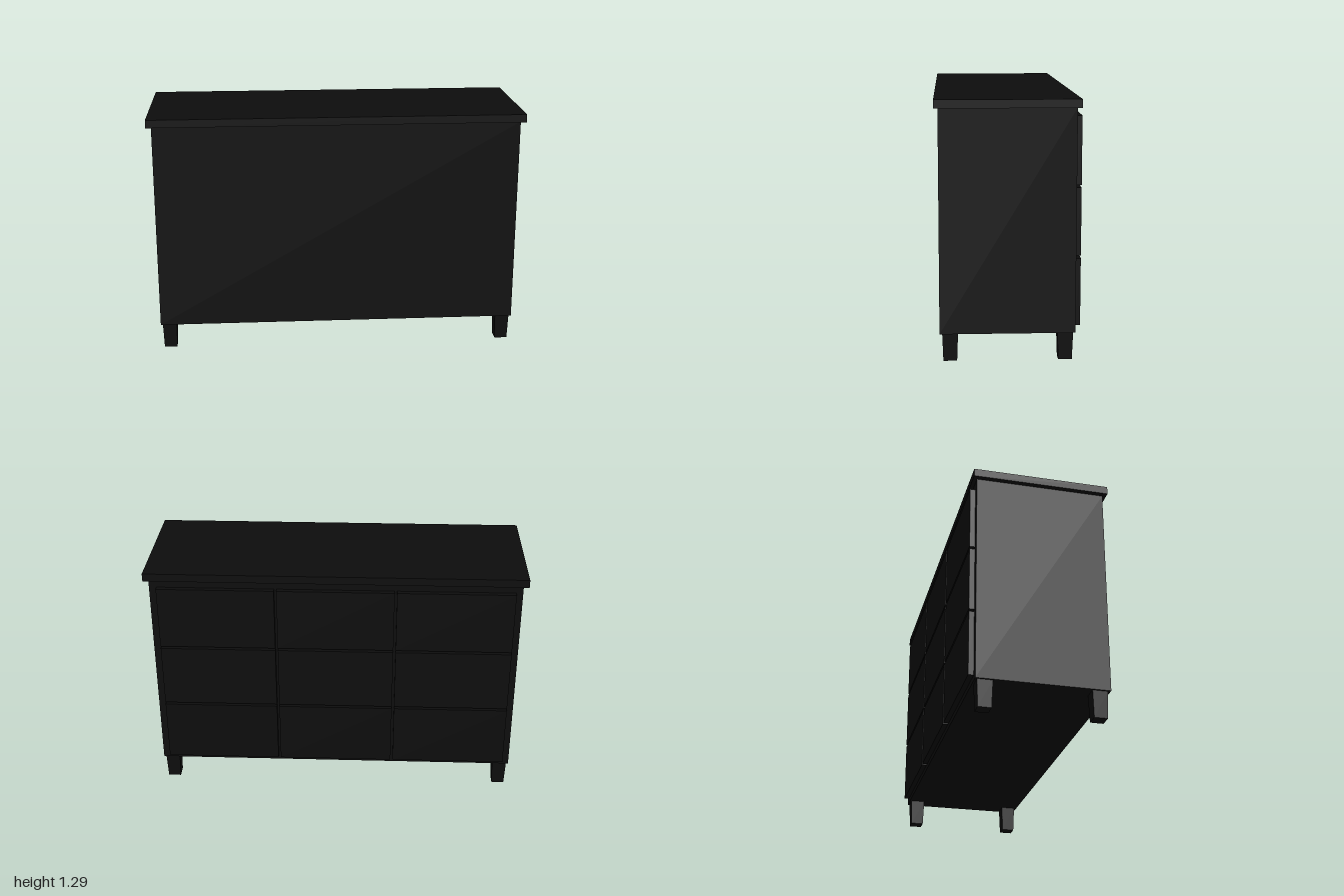
import * as THREE from 'three';

export function createModel() {
  const group = new THREE.Group();
  const blackWood = new THREE.MeshStandardMaterial({ color: 0x0d0d0d });
  blackWood.name = 'blackWood';

  // Box given by its min and max corners
  const addBox = (name, [x0, y0, z0], [x1, y1, z1]) => {
    const mesh = new THREE.Mesh(new THREE.BoxGeometry(x1 - x0, y1 - y0, z1 - z0), blackWood);
    mesh.position.set((x0 + x1) / 2, (y0 + y1) / 2, (z0 + z1) / 2);
    mesh.name = name;
    group.add(mesh);
  };

  // Carcass and overhanging top board
  addBox('cabinetBody', [-0.973, 0.14, -0.33], [0.973, 1.253, 0.34]);
  addBox('topBoard', [-1, 1.253, -0.35], [1, 1.295, 0.36]);

  // Three by three drawer fronts, standing proud of the -z face
  const width = 0.615, height = 0.339, stepX = 0.628, stepY = 0.352;
  for (let row = 0; row < 3; row++) {
    for (let col = 0; col < 3; col++) {
      const x = (col - 1) * stepX - 0.002;
      const y = 0.168 + row * stepY;
      addBox('drawerFront', [x - width / 2, y, -0.357], [x + width / 2, y + height, -0.329]);
    }
  }

  // Square legs tapering towards the floor
  const legGeometry = new THREE.CylinderGeometry(0.039 * Math.SQRT2, 0.034 * Math.SQRT2, 0.142, 4, 1)
    .rotateY(Math.PI / 4)
    .toNonIndexed();
  legGeometry.computeVertexNormals();
  for (const x of [-0.924, 0.924]) {
    for (const z of [-0.281, 0.288]) {
      const leg = new THREE.Mesh(legGeometry, blackWood);
      leg.position.set(x, 0.071, z);
      leg.name = 'leg';
      group.add(leg);
    }
  }
  return group;
}
